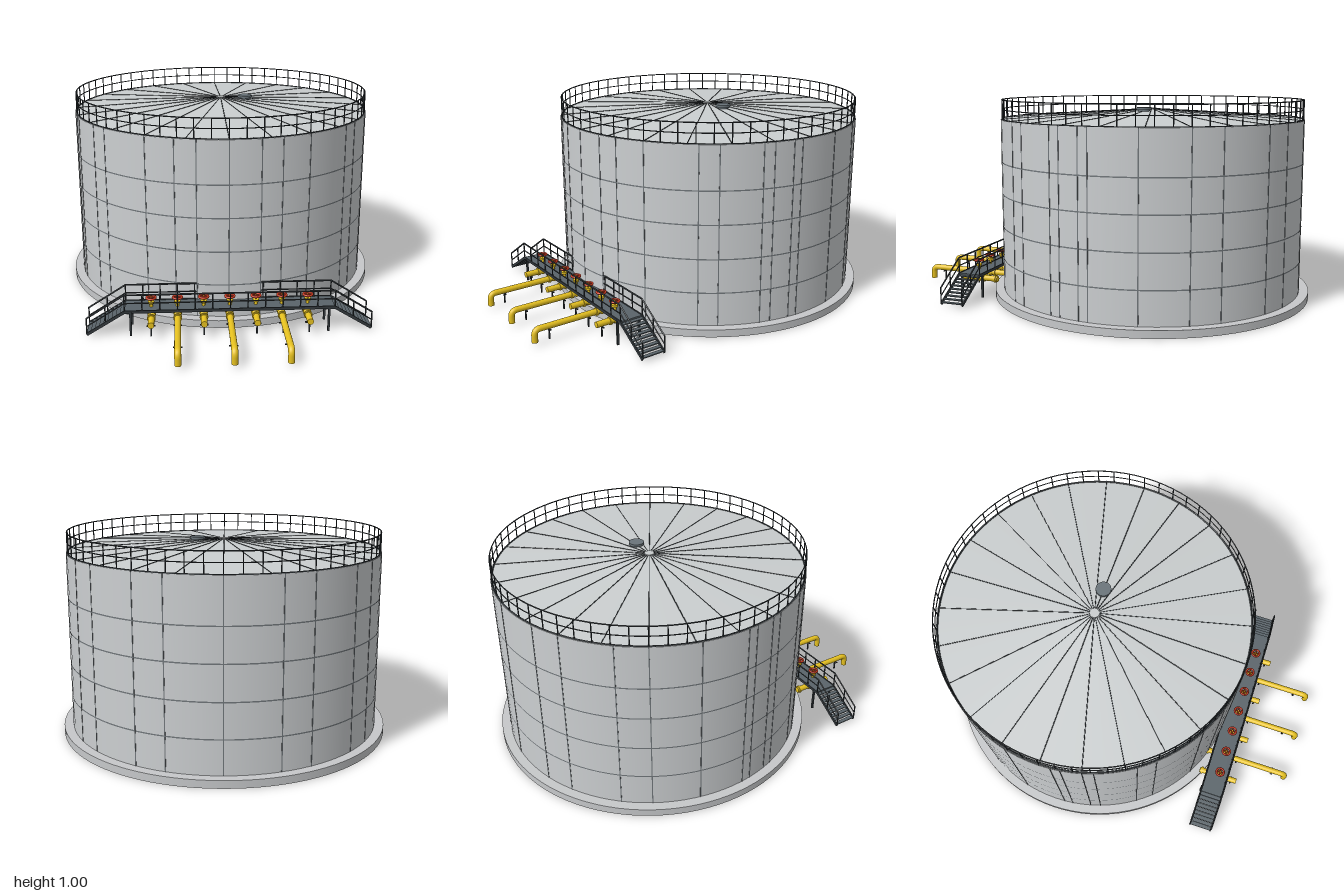
import * as THREE from 'three';

const mat = (name, color, side = THREE.FrontSide) => {
  const m = new THREE.MeshStandardMaterial({ color, side });
  m.name = name;
  return m;
};

export function createModel() {
  const M = {
    shell: mat('shellGrey', 0xcccfd1),
    roof: mat('roofGrey', 0xcacecf),
    base: mat('concreteGrey', 0xc6c8ca),
    seam: mat('seamGrey', 0x70767a),
    rail: mat('railDark', 0x33393d),
    deck: mat('deckSteel', 0x5a646a),
    hatch: mat('hatchSteel', 0x6a747a),
    pipe: mat('pipeYellow', 0xf2cb22),
    wheel: mat('valveRed', 0xcc3a20),
  };
  const root = new THREE.Group();
  const group = (name, parent = root) => {
    const g = new THREE.Group();
    g.name = name;
    parent.add(g);
    return g;
  };
  const add = (parent, name, geo, material, x = 0, y = 0, z = 0) => {
    const m = new THREE.Mesh(geo, material);
    m.name = name;
    m.position.set(x, y, z);
    parent.add(m);
    return m;
  };
  // Round bar between two points
  const bar = (parent, name, a, b, r, material, sides = 6) => {
    const A = new THREE.Vector3(...a), B = new THREE.Vector3(...b);
    const d = B.clone().sub(A);
    const m = add(parent, name, new THREE.CylinderGeometry(r, r, d.length(), sides), material);
    m.position.copy(A).add(B).multiplyScalar(0.5);
    m.quaternion.setFromUnitVectors(new THREE.Vector3(0, 1, 0), d.normalize());
    return m;
  };
  const hoop = (parent, name, R, r, y, material) => {
    const m = add(parent, name, new THREE.TorusGeometry(R, r, 6, 96), material, 0, y, 0);
    m.rotation.x = Math.PI / 2;
    return m;
  };

  // Tank, foundation and roof
  const R = 0.767, TOP = 0.9, PEAK = 0.95, BASE = 0.037;
  const tank = group('tank');
  tank.position.z = -0.188;
  add(tank, 'foundation', new THREE.CylinderGeometry(0.813, 0.813, BASE, 96), M.base, 0, BASE / 2, 0);
  add(tank, 'shell', new THREE.CylinderGeometry(R, R, TOP - BASE, 96, 1, true), M.shell, 0, (TOP + BASE) / 2, 0);
  add(tank, 'roof', new THREE.ConeGeometry(R, PEAK - TOP, 96, 1, true), M.roof, 0, (TOP + PEAK) / 2, 0);
  add(tank, 'roofCap', new THREE.CylinderGeometry(0.024, 0.024, 0.006, 24), M.roof, 0, PEAK, 0);
  add(tank, 'hatchNeck', new THREE.CylinderGeometry(0.03, 0.03, 0.03, 24), M.hatch, 0.13, 0.94, 0);
  add(tank, 'hatchLid', new THREE.CylinderGeometry(0.038, 0.038, 0.012, 24), M.hatch, 0.13, 0.954, 0);

  // Plate seams around and up the shell
  for (const y of [0.2, 0.365, 0.53, 0.69])
    add(tank, 'ringSeam', new THREE.CylinderGeometry(R + 0.001, R + 0.001, 0.006, 96, 1, true), M.seam, 0, y, 0);
  const seamAngles = [0, 11.25, 19, 30, 49, 56, 71, 75, 82.5, 86, 103, 120, 131, 150, 161, 180];
  for (const deg of seamAngles) {
    for (const s of deg % 180 ? [1, -1] : [1]) {
      const a = s * deg * Math.PI / 180;
      const seam = add(tank, 'verticalSeam', new THREE.BoxGeometry(0.005, TOP - BASE, 0.003), M.seam,
        Math.sin(a) * R, (TOP + BASE) / 2, Math.cos(a) * R);
      seam.rotation.y = a;
    }
  }

  // Roof ribs
  for (let i = 0; i < 24; i++) {
    const a = i * Math.PI / 12, c = Math.cos(a), s = Math.sin(a);
    bar(tank, 'roofRib', [c * 0.024, PEAK - 0.001, s * 0.024], [c * R, TOP + 0.001, s * R], 0.002, M.rail, 4);
  }

  // Guard rail around the roof
  const guard = group('roofGuardRail', tank), GR = 0.761;
  hoop(guard, 'rimBand', GR, 0.004, TOP + 0.001, M.rail);
  hoop(guard, 'midRail', GR, 0.0025, 0.95, M.rail);
  hoop(guard, 'topRail', GR, 0.003, 0.997, M.rail);
  for (let i = 0; i < 60; i++) {
    const a = i * Math.PI / 30, x = Math.sin(a) * GR, z = Math.cos(a) * GR;
    bar(guard, 'guardPost', [x, TOP, z], [x, 0.997, z], 0.003, M.rail);
  }

  // Valve platform
  const Z0 = 0.562, Z1 = 0.678, ZM = (Z0 + Z1) / 2, DX = 0.487, DY = 0.12;
  const platform = group('platform');
  add(platform, 'deck', new THREE.BoxGeometry(DX * 2, 0.008, Z1 - Z0), M.deck, 0, DY, ZM);
  for (const z of [Z0, Z1]) {
    add(platform, 'deckBeam', new THREE.BoxGeometry(DX * 2, 0.014, 0.006), M.rail, 0, DY, z);
    bar(platform, 'topRail', [-DX, 0.204, z], [DX, 0.204, z], 0.004, M.rail);
    bar(platform, 'midRail', [-DX, 0.163, z], [DX, 0.163, z], 0.003, M.rail);
    for (let i = 0; i <= 12; i++) {
      const x = -DX + i * DX / 6;
      bar(platform, 'railPost', [x, DY, z], [x, 0.204, z], 0.0035, M.rail);
    }
    for (const x of [-0.46, 0.46])
      add(platform, 'platformLeg', new THREE.BoxGeometry(0.01, DY, 0.01), M.rail, x, DY / 2, z);
  }

  // Stairs at both ends
  const EX = 0.662, EY = 0.012;
  for (const s of [1, -1]) {
    const stairs = group(s > 0 ? 'leftStairs' : 'rightStairs');
    for (const z of [Z0, Z1]) {
      const run = EX - DX, rise = DY - EY;
      const stringer = add(stairs, 'stringer', new THREE.BoxGeometry(Math.hypot(run, rise), 0.014, 0.006), M.rail,
        s * (DX + EX) / 2, (DY + EY) / 2, z);
      stringer.rotation.z = -s * Math.atan2(rise, run);
      bar(stairs, 'handRail', [s * DX, 0.204, z], [s * EX, 0.092, z], 0.004, M.rail);
      bar(stairs, 'stairMidRail', [s * DX, 0.163, z], [s * EX, 0.052, z], 0.003, M.rail);
      for (const t of [0.5, 1]) {
        const x = s * (DX + run * t), y = DY - rise * t;
        bar(stairs, 'stairPost', [x, y, z], [x, y + 0.082, z], 0.0035, M.rail);
      }
    }
    for (let i = 0; i < 9; i++) {
      const t = (i + 0.5) / 9;
      add(stairs, 'tread', new THREE.BoxGeometry(0.02, 0.005, Z1 - Z0), M.deck,
        s * (DX + (EX - DX) * t), DY + (EY - DY) * t, ZM);
    }
  }

  // Pipes with valves: every second one runs out and bends to the ground
  const PY = 0.076, PR = 0.015, VZ = 0.632;
  for (let i = -3; i <= 3; i++) {
    const x = i * 0.1217, long = i % 2 === 0;
    const line = group('pipeLine');
    line.position.x = x;
    const end = long ? 0.955 : 0.734;
    bar(line, 'pipe', [0, PY, 0.525], [0, PY, end], PR, M.pipe, 16);
    for (const z of [0.538, 0.605, 0.66])
      bar(line, 'flange', [0, PY, z - 0.005], [0, PY, z + 0.005], 0.02, M.pipe, 16);
    if (long) {
      const bend = new THREE.QuadraticBezierCurve3(new THREE.Vector3(0, PY, end),
        new THREE.Vector3(0, PY, 0.983), new THREE.Vector3(0, PY - 0.028, 0.983));
      add(line, 'elbow', new THREE.TubeGeometry(bend, 10, PR, 16), M.pipe);
      bar(line, 'downPipe', [0, PY - 0.028, 0.983], [0, 0.015, 0.983], PR, M.pipe, 16);
    }
    // Pipe supports
    for (const z of long ? [0.705, 0.91] : [0.705]) {
      add(line, 'supportSaddle', new THREE.BoxGeometry(0.04, 0.005, 0.006), M.rail, 0, PY - PR, z);
      add(line, 'supportLeg', new THREE.BoxGeometry(0.007, 0.052, 0.006), M.rail, 0, 0.036, z);
    }
    // Valve body, stem and handwheel
    add(line, 'valveBody', new THREE.SphereGeometry(0.019, 16, 12), M.pipe, 0, PY, VZ);
    add(line, 'valveBonnet', new THREE.CylinderGeometry(0.007, 0.009, 0.06, 12), M.pipe, 0, 0.11, VZ);
    add(line, 'bonnetFlange', new THREE.CylinderGeometry(0.015, 0.015, 0.01, 16), M.pipe, 0, 0.145, VZ);
    add(line, 'valveStem', new THREE.CylinderGeometry(0.004, 0.004, 0.025, 8), M.pipe, 0, 0.16, VZ);
    const wheel = add(line, 'handwheel', new THREE.TorusGeometry(0.021, 0.0055, 8, 24), M.wheel, 0, 0.168, VZ);
    wheel.rotation.x = Math.PI / 2;
    bar(line, 'wheelSpoke', [-0.02, 0.168, VZ], [0.02, 0.168, VZ], 0.004, M.wheel);
    bar(line, 'wheelSpoke', [0, 0.168, VZ - 0.02], [0, 0.168, VZ + 0.02], 0.004, M.wheel);
  }
  return root;
}
